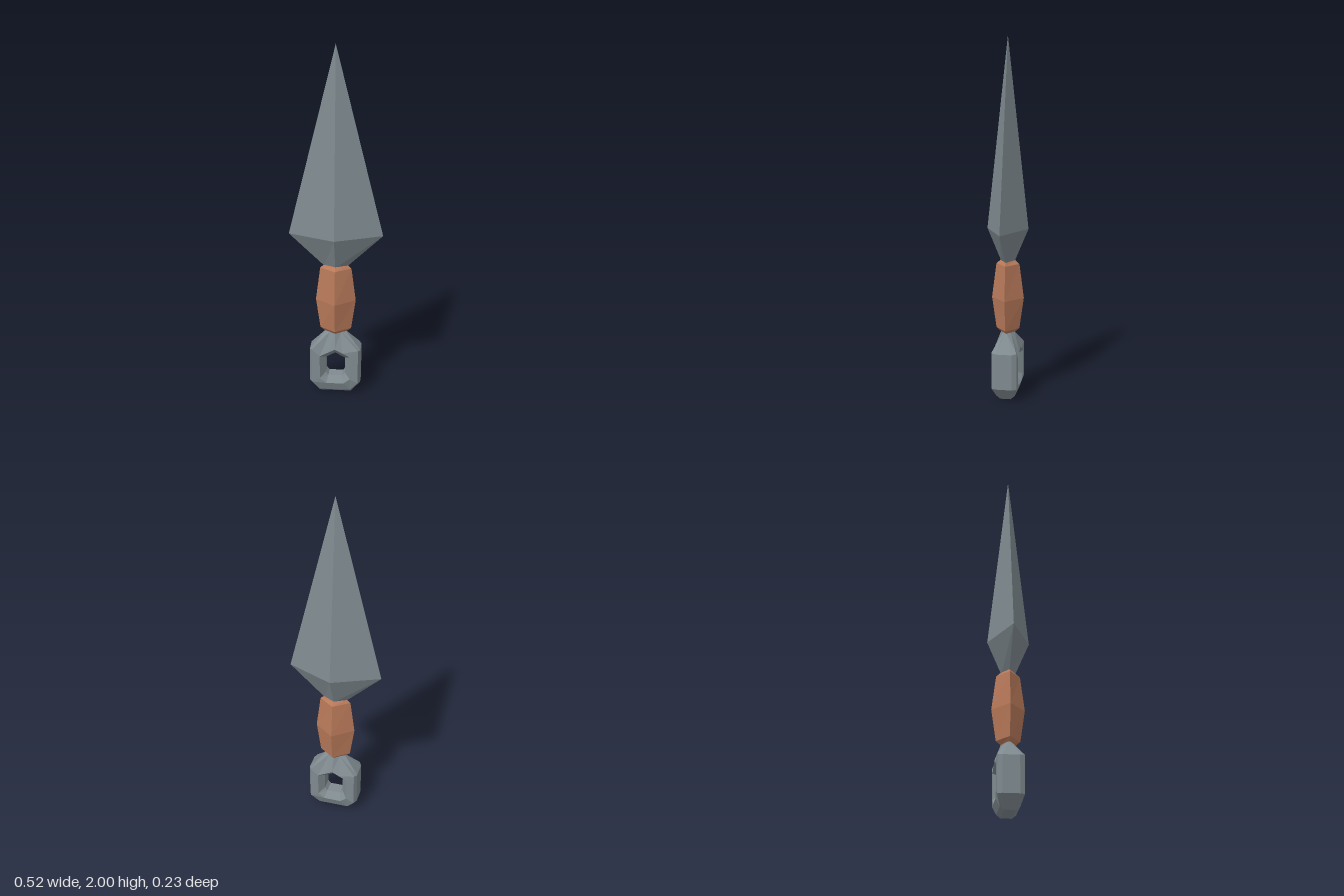
import * as THREE from 'three';

const steel = new THREE.MeshStandardMaterial({ color: 0x7f8a8f, flatShading: true });
const leather = new THREE.MeshStandardMaterial({ color: 0xb97a5a, flatShading: true });

// Skin a list of equal-length closed loops of Vector3 with flat facets
function skin(name, loops, material, closed = false) {
  const positions = [];
  const triangle = new THREE.Triangle();
  const add = (p, q, r) => {
    if (triangle.set(p, q, r).getArea() < 1e-9) return;
    positions.push(...p.toArray(), ...q.toArray(), ...r.toArray());
  };
  const bands = closed ? loops.length : loops.length - 1;
  for (let i = 0; i < bands; i++) {
    const lower = loops[i], upper = loops[(i + 1) % loops.length];
    for (let j = 0; j < lower.length; j++) {
      const k = (j + 1) % lower.length;
      add(lower[k], lower[j], upper[j]);
      add(lower[k], upper[j], upper[k]);
    }
  }
  const geometry = new THREE.BufferGeometry();
  geometry.setAttribute('position', new THREE.Float32BufferAttribute(positions, 3));
  geometry.computeVertexNormals();
  const mesh = new THREE.Mesh(geometry, material);
  mesh.name = name;
  return mesh;
}

// Diamond cross-section: height, half width, half depth
const diamond = ([y, hx, hz]) => [[hx, 0], [0, hz], [-hx, 0], [0, -hz]]
  .map(([x, z]) => new THREE.Vector3(x, y, z));

// Complete a half loop (top centre, then down the +x side) by mirroring
function mirrored(half) {
  const left = half.slice(1).reverse().map(([x, y, z]) => [-x, y, z]);
  return [...half, ...left].map((p) => new THREE.Vector3(...p));
}

export function createModel() {
  const group = new THREE.Group();
  group.name = 'throwingKnife';

  // Blade: long four-sided point on a short taper
  group.add(skin('blade', [
    [0.765, 0, 0], [0.765, 0.065, 0.037], [0.95, 0.262, 0.115], [2, 0, 0],
  ].map(diamond), steel));

  // Grip: swollen diamond prism with bevelled ends
  group.add(skin('grip', [
    [0.365, 0, 0], [0.365, 0.06, 0.04], [0.387, 0.088, 0.065], [0.56, 0.113, 0.09],
    [0.752, 0.088, 0.065], [0.772, 0.066, 0.042], [0.772, 0, 0],
  ].map(diamond), leather));

  // Pommel ring: bevelled loops from the outer edge to the hole, then mirrored to the back
  const front = [
    [[0, 0.37, 0], [0.058, 0.37, 0.002], [0.145, 0.27, 0.045], [0.145, 0.07, 0.045], [0.09, 0, 0.03]],
    [[0, 0.37, 0.037], [0.03, 0.37, 0.02], [0.132, 0.275, 0.07], [0.132, 0.07, 0.07], [0.085, 0.017, 0.052]],
    [[0, 0.28, 0.072], [0.043, 0.258, 0.072], [0.086, 0.235, 0.072], [0.086, 0.095, 0.072], [0.05, 0.065, 0.07]],
    [[0, 0.245, 0.035], [0.028, 0.23, 0.035], [0.055, 0.215, 0.035], [0.055, 0.12, 0.035], [0.04, 0.1, 0.035]],
  ];
  const back = front.map((loop) => loop.map(([x, y, z]) => [x, y, -z])).reverse();
  group.add(skin('pommelRing', [...front, ...back].map(mirrored), steel, true));

  return group;
}
